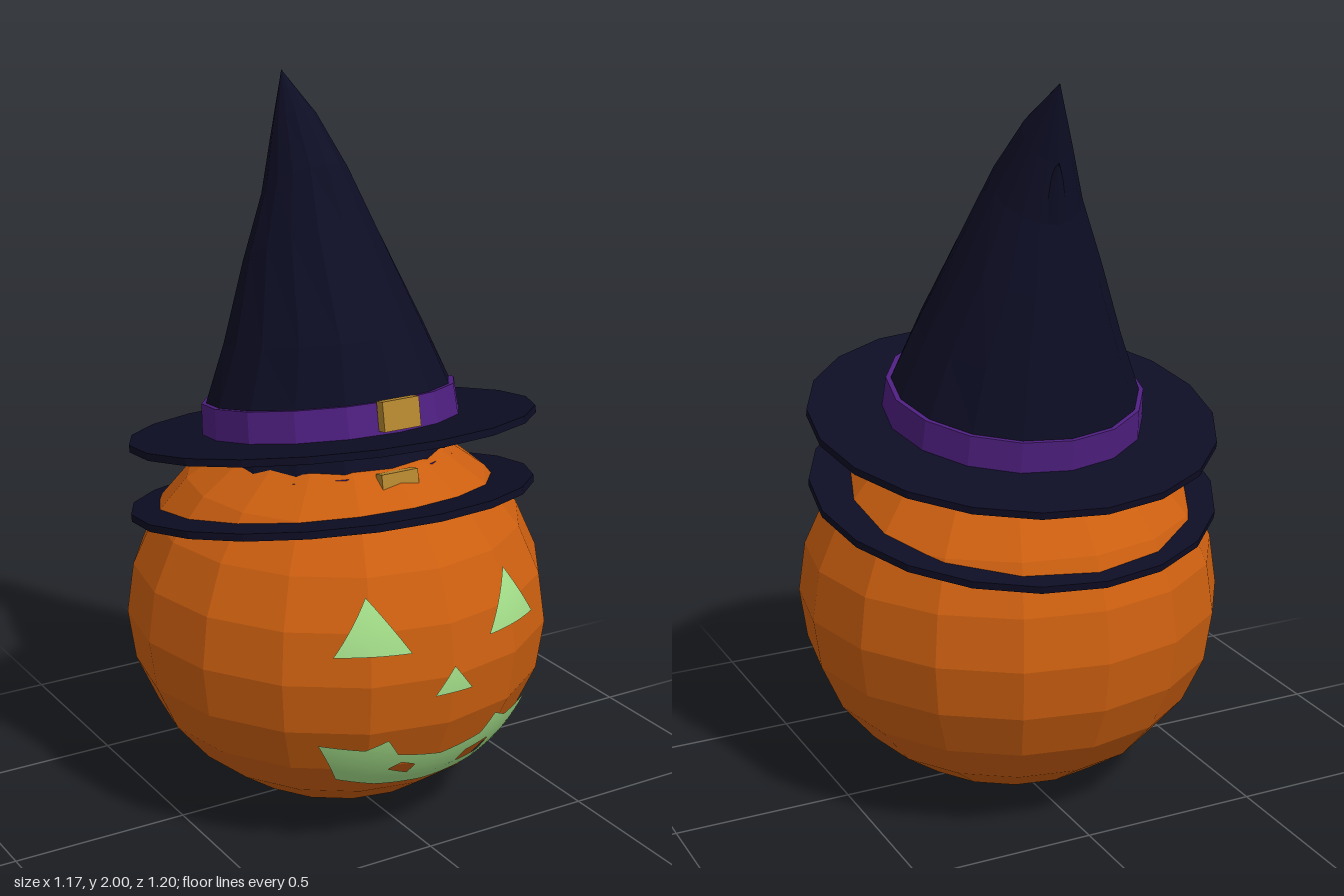
import * as THREE from 'three';
import { mergeVertices } from 'three/addons/utils/BufferGeometryUtils.js';

const mat = (name, color) => Object.assign(new THREE.MeshStandardMaterial({ color }), { name });
const orange = mat('pumpkin orange', 0xcc5f10);
const navy = mat('midnight navy', 0x0d0d24);
const purple = mat('band purple', 0x4e1f80);
const gold = mat('buckle gold', 0xb5872f);
const green = mat('glow green', 0xa5e08a);
green.side = THREE.DoubleSide;

// Pumpkin ellipsoid: radii and centre height
const RX = 0.587, RY = 0.545, RZ = 0.6, CY = 0.545;

function faceted(geometry) {
  const g = geometry.index ? geometry.toNonIndexed() : geometry;
  g.computeVertexNormals();
  return g;
}

function add(parent, name, geometry, material) {
  const mesh = new THREE.Mesh(geometry, material);
  mesh.name = name;
  parent.add(mesh);
  return mesh;
}

// Flat outline subdivided and wrapped onto the front of the pumpkin
function wrapped(points, holes = []) {
  const toV = (list) => list.map(([x, y]) => new THREE.Vector2(x, y));
  const shape = new THREE.Shape(toV(points));
  holes.forEach((h) => shape.holes.push(new THREE.Path(toV(h))));
  const p = new THREE.ShapeGeometry(shape).toNonIndexed().attributes.position;
  let tris = [];
  for (let i = 0; i < p.count; i += 3) {
    tris.push([0, 1, 2].map((k) => new THREE.Vector3().fromBufferAttribute(p, i + k)));
  }
  for (let n = 0; n < 3; n++) {
    tris = tris.flatMap(([a, b, c]) => {
      const ab = a.clone().lerp(b, 0.5), bc = b.clone().lerp(c, 0.5), ca = c.clone().lerp(a, 0.5);
      return [[a, ab, ca], [ab, b, bc], [ca, bc, c], [ab, bc, ca]];
    });
  }
  const pts = tris.flat().map((v) => {
    const s = 1 - (v.x / RX) ** 2 - ((v.y - CY) / RY) ** 2;
    return new THREE.Vector3(v.x, v.y, RZ * Math.sqrt(Math.max(s, 0)) + 0.004);
  });
  const g = mergeVertices(new THREE.BufferGeometry().setFromPoints(pts));
  g.computeVertexNormals();
  return g;
}

// Bent cone: each ring is [front y, front z, back y, back z, half width]
function crownGeometry() {
  const rings = [
    [1.11, 0.315, 0.995, -0.375, 0.347],
    [1.215, 0.29, 1.095, -0.38, 0.338],
    [1.36, 0.22, 1.26, -0.352, 0.275],
    [1.63, 0.04, 1.45, -0.32, 0.187],
    [1.78, -0.05, 1.64, -0.286, 0.12],
    [1.91, -0.17, 1.8, -0.284, 0.066],
    [2.0, -0.295, 2.0, -0.295, 0],
  ];
  const N = 16, pos = [], idx = [];
  for (const [fy, fz, by, bz, w] of rings) {
    for (let i = 0; i < N; i++) {
      const a = (i / N) * Math.PI * 2, t = (1 + Math.cos(a)) / 2;
      pos.push(w * Math.sin(a), by + (fy - by) * t, bz + (fz - bz) * t);
    }
  }
  for (let k = 0; k < rings.length - 1; k++) {
    for (let i = 0; i < N; i++) {
      const a = k * N + i, b = k * N + (i + 1) % N;
      idx.push(a, b, a + N);
      if (k < rings.length - 2) idx.push(b, b + N, a + N);
    }
  }
  const g = new THREE.BufferGeometry();
  g.setAttribute('position', new THREE.Float32BufferAttribute(pos, 3));
  g.setIndex(idx);
  return faceted(g);
}

function createHat(name) {
  const hat = new THREE.Group();
  hat.name = name;
  add(hat, 'crown', crownGeometry(), navy);
  // Brim, band and buckle share the backward tilt
  const base = new THREE.Group();
  base.name = 'hatBase';
  base.position.set(0, 1.06, -0.027);
  base.rotation.x = -0.178;
  add(base, 'brim', faceted(new THREE.CylinderGeometry(0.563, 0.563, 0.02, 20)), navy);
  add(base, 'band', faceted(new THREE.CylinderGeometry(0.352, 0.358, 0.09, 16)), purple).position.y = 0.05;
  add(base, 'buckle', new THREE.BoxGeometry(0.112, 0.08, 0.03), gold).position.set(0, 0.06, 0.362);
  hat.add(base);
  return hat;
}

export function createModel() {
  const model = new THREE.Group();
  model.name = 'pumpkinWithHats';

  const body = new THREE.SphereGeometry(1, 16, 12).scale(RX, RY, RZ).translate(0, CY, 0);
  add(model, 'pumpkin', faceted(body), orange);

  // Carved face
  for (const s of [1, -1]) {
    add(model, s > 0 ? 'leftEye' : 'rightEye',
      wrapped([[s * 0.12, 0.63], [s * 0.31, 0.63], [s * 0.213, 0.775]]), green);
  }
  add(model, 'nose', wrapped([[-0.058, 0.5], [0.058, 0.5], [0, 0.575]]), green);
  const half = [[0.13, 0.325], [0.168, 0.38], [0.22, 0.35], [0.33, 0.368], [0.255, 0.235], [0.15, 0.205]];
  const mirrored = half.map(([x, y]) => [-x, y]).reverse();
  add(model, 'mouth', wrapped([[0, 0.3], ...half, [0, 0.192], ...mirrored], [
    [[0.08, 0.235], [0.16, 0.24], [0.182, 0.283], [0.1, 0.272]],
    [[-0.14, 0.27], [-0.11, 0.292], [-0.068, 0.275], [-0.08, 0.245]],
  ]), green);

  // Two stacked hats, one slipped down over the pumpkin
  const lower = createHat('lowerHat');
  lower.position.y = -0.2;
  model.add(createHat('upperHat'), lower);
  return model;
}
